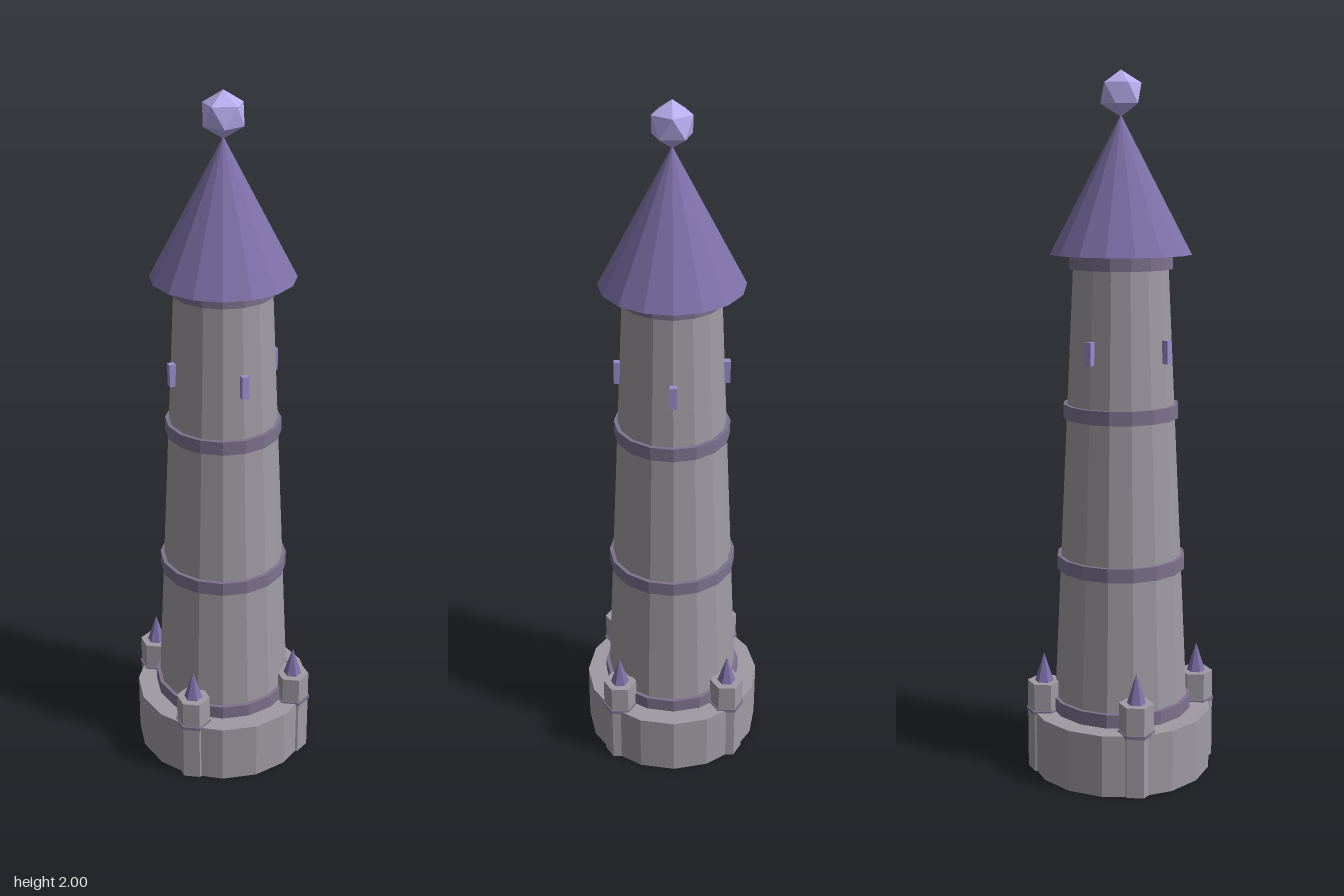
import * as THREE from 'three';

const mat = (color) => new THREE.MeshStandardMaterial({ color, flatShading: true });

export function createModel() {
  const tower = new THREE.Group();
  tower.name = 'tower';
  const stone = mat(0xa09ba3);
  const trim = mat(0x7d738f);
  const roofTile = mat(0x7e70a8);
  const glass = mat(0x9a8ccc);
  const crystal = mat(0xb9aef0);

  const add = (name, geometry, material, x = 0, y = 0, z = 0) => {
    const mesh = new THREE.Mesh(geometry, material);
    mesh.name = name;
    mesh.position.set(x, y, z);
    tower.add(mesh);
    return mesh;
  };
  // Tapered prism standing between heights y0 and y1
  const prism = (name, rBottom, rTop, y0, y1, sides, material, x = 0, z = 0) =>
    add(name, new THREE.CylinderGeometry(rTop, rBottom, y1 - y0, sides), material, x, (y0 + y1) / 2, z);

  // Plinth and tapered shaft
  prism('base', 0.263, 0.263, 0, 0.18, 16, stone);
  prism('shaft', 0.197, 0.134, 0.18, 1.5, 16, stone);

  // Bands around the shaft
  [[0.18, 0.206], [0.6, 0.186], [1.04, 0.165], [1.46, 0.147]].forEach(([y, r], i) =>
    prism(`band${i + 1}`, r, r, y, y + 0.04, 16, trim));

  // Roof and crystal finial, one corner pointing straight up
  prism('roof', 0.201, 0, 1.5, 1.88, 16, roofTile);
  const gem = new THREE.IcosahedronGeometry(0.063, 0);
  gem.rotateZ(-Math.atan(2 / (1 + Math.sqrt(5))));
  add('finial', gem, crystal, 0, 1.937, 0);

  // Slit windows on the four sides
  for (let i = 0; i < 4; i++) {
    const a = (i * Math.PI) / 2;
    const slit = add('window', new THREE.BoxGeometry(0.02, 0.065, 0.02), glass,
      Math.sin(a) * 0.152, 1.235, Math.cos(a) * 0.152);
    slit.rotation.y = a;
  }

  // Hexagonal corner turrets with a thin collar and a spike
  for (const x of [-0.161, 0.161]) {
    for (const z of [-0.161, 0.161]) {
      prism('turret', 0.049, 0.049, 0, 0.265, 6, stone, x, z);
      prism('turretCollar', 0.053, 0.053, 0.174, 0.184, 6, trim, x, z);
      prism('turretSpike', 0.027, 0, 0.265, 0.35, 6, roofTile, x, z);
    }
  }
  return tower;
}
